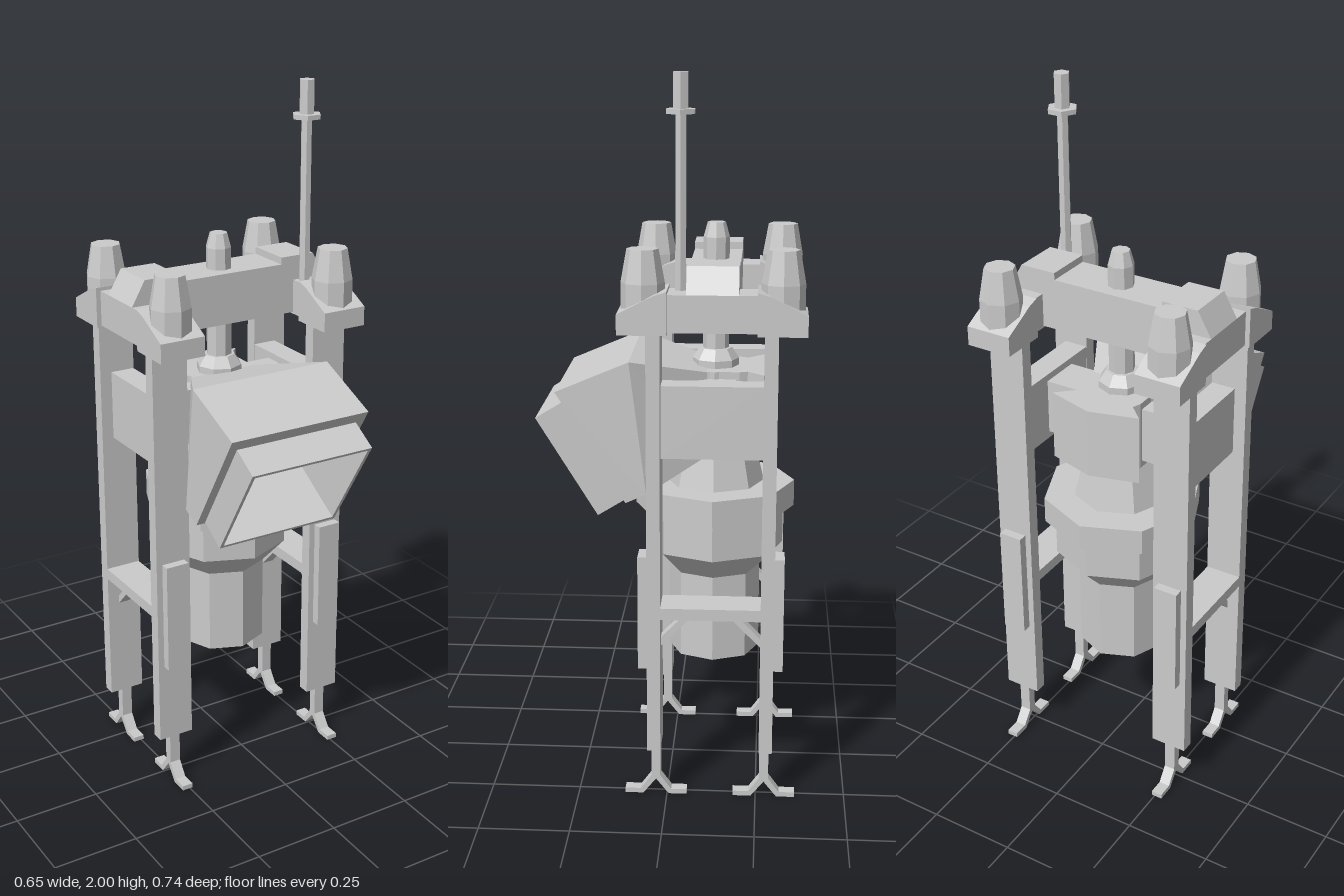
import * as THREE from 'three';

const ZC = -0.121; // z of the machine axis; the frame mirrors about it
const material = new THREE.MeshStandardMaterial({ color: 0xcccccc, flatShading: true });

export function createModel() {
  const root = new THREE.Group();

  function add(name, geometry) {
    const mesh = new THREE.Mesh(geometry, material);
    mesh.name = name;
    root.add(mesh);
    return mesh;
  }

  // box from min/max extents, in any order
  function box(name, x0, x1, y0, y1, z0, z1) {
    const g = new THREE.BoxGeometry(Math.abs(x1 - x0), Math.abs(y1 - y0), Math.abs(z1 - z0));
    g.translate((x0 + x1) / 2, (y0 + y1) / 2, (z0 + z1) / 2);
    return add(name, g);
  }

  // faceted turned part
  function turned(name, profile, x, z, sides = 8, phase = 0) {
    const g = new THREE.LatheGeometry(profile.map(([r, y]) => new THREE.Vector2(r, y)), sides, phase);
    g.translate(x, 0, z);
    return add(name, g);
  }

  function extrude(points, depth) {
    const shape = new THREE.Shape(points.map(([a, b]) => new THREE.Vector2(a, b)));
    return new THREE.ExtrudeGeometry(shape, { depth, bevelEnabled: false });
  }

  // (z, y) outline extruded across x, centred on x
  function sidePlate(name, points, x, width) {
    const g = extrude(points, width);
    g.rotateY(-Math.PI / 2).translate(x + width / 2, 0, 0);
    return add(name, g);
  }

  // four-cornered sections [halfWidth, zTop, yTop, zBottom, yBottom], back to front
  function loft(name, sections) {
    const rings = sections.map(([w, zt, yt, zb, yb]) =>
      [[-w, yb, zb], [w, yb, zb], [w, yt, zt], [-w, yt, zt]]);
    const pos = [];
    const quad = (a, b, c, d) => pos.push(...a, ...b, ...c, ...a, ...c, ...d);
    for (let s = 0; s < rings.length - 1; s++) {
      for (let i = 0; i < 4; i++) {
        const j = (i + 1) % 4;
        quad(rings[s][i], rings[s][j], rings[s + 1][j], rings[s + 1][i]);
      }
    }
    quad(...[...rings[0]].reverse());
    quad(...rings[rings.length - 1]);
    const g = new THREE.BufferGeometry();
    g.setAttribute('position', new THREE.Float32BufferAttribute(pos, 3));
    g.computeVertexNormals();
    return add(name, g);
  }

  // four corner columns: leg, panel, foot, cap block and cone
  const footHalf = [[0.013, 0.16], [0.013, 0.055], [0.043, 0.014], [0.087, 0.014], [0.087, 0], [0.036, 0]];
  const footOutline = [...footHalf, [0, 0.045], ...footHalf.map(([z, y]) => [-z, y]).reverse()];
  for (const sx of [-1, 1]) {
    for (const front of [true, false]) {
      const mz = (z) => (front ? z : 2 * ZC - z);
      const x = sx * 0.257;
      box('leg', x - 0.053, x + 0.053, 0.15, 1.34, mz(0.016), mz(0.053));
      box('legPanel', x - 0.035, x + 0.035, 0.39, 0.715, mz(0.05), mz(0.079));
      sidePlate('foot', footOutline.map(([z, y]) => [z + mz(0.031), y]), x, 0.032);
      sidePlate('capBlock',
        [[-0.003, 1.335], [0.128, 1.335], [0.128, 1.39], [0.03, 1.44], [-0.003, 1.45]].map(([z, y]) => [mz(z), y]),
        x, 0.133);
      turned('capCone', [[0, 1.39], [0.058, 1.39], [0.058, 1.465], [0.042, 1.553], [0, 1.553]], x, mz(0.063));
      // diagonal strut under the lower brace
      sidePlate('braceStrut',
        [[0.018, 0.45], [0.018, 0.475], [-0.05, 0.545], [-0.075, 0.545]].map(([z, y]) => [mz(z), y]), x, 0.035);
    }

    // side members joining front and back legs
    box('topRail', sx * 0.205, sx * 0.31, 1.34, 1.44, ZC - 0.122, ZC + 0.122);
    box('lowerBrace', sx * 0.205, sx * 0.31, 0.542, 0.575, ZC - 0.138, ZC + 0.138);
    box('sideBox', sx * 0.205, sx * 0.275, 0.99, 1.19, ZC - 0.137, ZC + 0.137);
    box('sideBoxArm', sx * 0.08, sx * 0.21, 1.01, 1.17, ZC - 0.06, ZC + 0.06);
  }

  // cross beam with raised, sloping ends
  const beamHalf = [[0.31, 1.345], [0.31, 1.44], [0.27, 1.51], [0.165, 1.51], [0.165, 1.49]];
  const beam = extrude([...beamHalf, ...beamHalf.map(([x, y]) => [-x, y]).reverse()], 0.137);
  beam.translate(0, 0, -0.19);
  add('crossBeam', beam);

  // central machine, bottom to top
  turned('lowerBarrel', [[0, 0.45], [0.08, 0.45], [0.08, 0.35], [0.13, 0.35], [0.13, 0.6],
    [0.195, 0.67], [0.195, 0.79], [0, 0.79]], 0, ZC);
  turned('collar', [[0, 0.78], [0.226, 0.78], [0.226, 0.855], [0, 0.855]], 0, ZC);
  turned('neck', [[0.14, 0.85], [0.105, 1.0], [0.105, 1.19], [0, 1.19]], 0, ZC);
  turned('postFlange', [[0.065, 1.18], [0.065, 1.21], [0.045, 1.24], [0, 1.24]], 0, ZC);
  turned('centralPost', [[0.036, 1.2], [0.036, 1.55], [0.025, 1.59], [0, 1.59]], 0, ZC);

  // angular shell behind the neck
  const shellHalf = [[0.1, 0.1], [0.1, 0.19], [0.09, 0.212], [0.137, 0.257]];
  const shell = extrude([...shellHalf, [0, 0.295], ...shellHalf.map(([x, y]) => [-x, y]).reverse()], 0.2);
  shell.rotateX(-Math.PI / 2).translate(0, 0.99, 0);
  add('rearShell', shell);

  // hood flaring forward, with a projecting lip and a deep recess
  loft('hood', [
    [0.105, -0.1, 1.19, -0.1, 0.95],
    [0.217, 0.106, 1.24, 0.06, 0.87],
    [0.217, 0.307, 1.155, 0.117, 0.845],
    [0.19, 0.287, 1.123, 0.118, 0.848],
    [0.19, 0.365, 1.075, 0.196, 0.8],
    [0.18, 0.36, 1.067, 0.201, 0.808],
    [0.18, 0.19, 1.172, 0.031, 0.913],
  ]);

  // antenna mast
  turned('antenna', [[0.016, 1.43], [0.016, 1.895], [0.042, 1.895], [0.042, 1.908],
    [0.022, 1.908], [0.022, 2], [0, 2]], 0.23, -0.035, 6, Math.PI / 6);

  return root;
}
